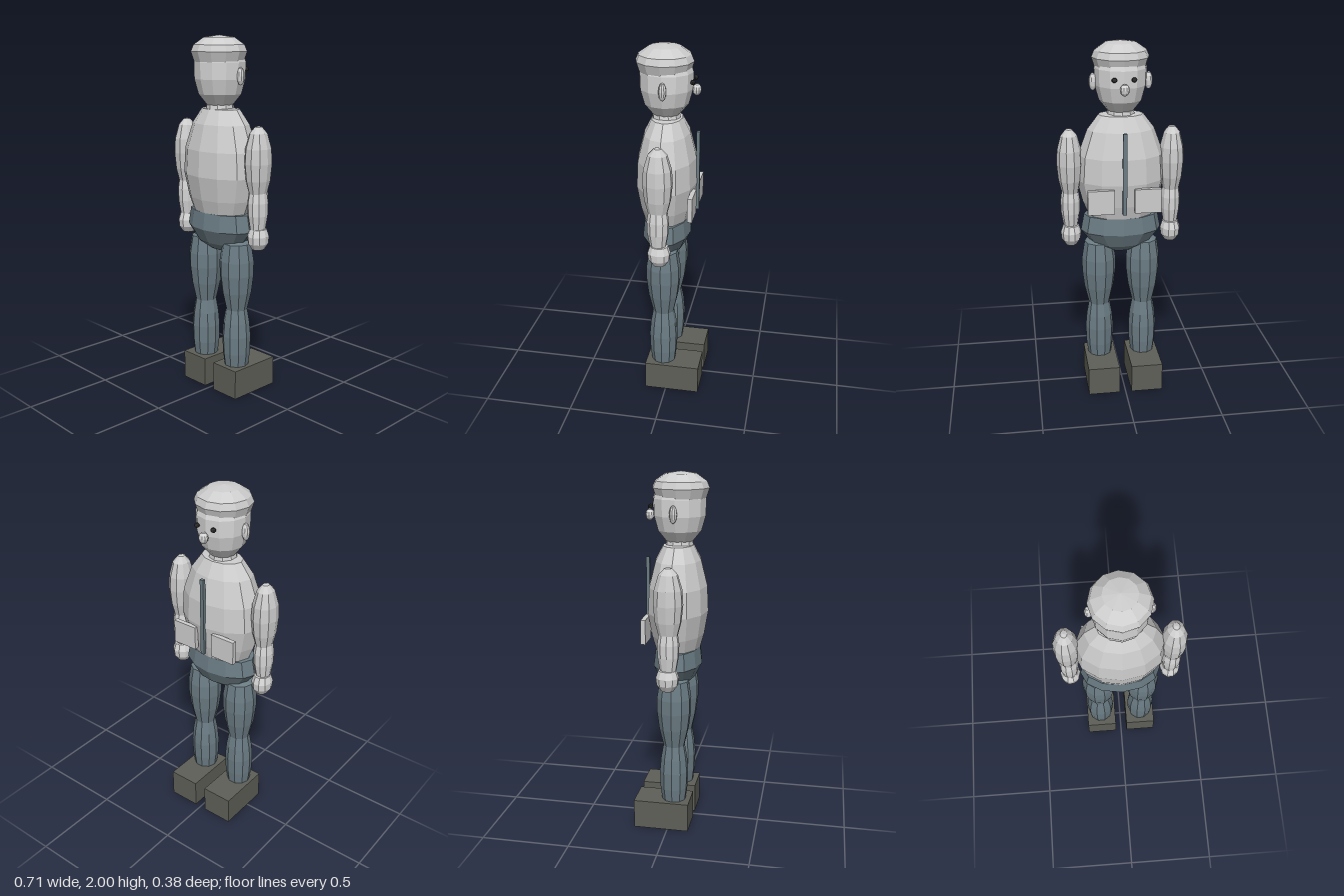
import * as THREE from 'three';

const flat = (name, color) => {
  const m = new THREE.MeshStandardMaterial({ color, flatShading: true });
  m.name = name;
  return m;
};

export function createModel() {
  const skin = flat('skin', 0xd6d6d6);
  const shirt = flat('shirt', 0xcdcdcd);
  const trousers = flat('trousers', 0x6b7c84);
  const shoes = flat('shoes', 0x5f5f58);
  const black = flat('black', 0x2c2c2c);

  const model = new THREE.Group();
  model.name = 'figure';

  const add = (name, geometry, material, x, y, z) => {
    const mesh = new THREE.Mesh(geometry, material);
    mesh.name = name;
    mesh.position.set(x, y, z);
    model.add(mesh);
    return mesh;
  };

  // Faceted body part: profile of [radius, y] from bottom to top, stretched in x and z
  const turned = (name, profile, sides, material, x, z, sx = 1, sz = 1, start = 0) => {
    const points = profile.map(([r, y]) => new THREE.Vector2(r, y));
    const geometry = new THREE.LatheGeometry(points, sides, start);
    geometry.scale(sx, 1, sz);
    return add(name, geometry, material, x, 0, z);
  };
  const box = (name, w, h, d, material, x, y, z) =>
    add(name, new THREE.BoxGeometry(w, h, d), material, x, y, z);
  const ball = (name, rx, ry, rz, material, x, y, z) => {
    const geometry = new THREE.SphereGeometry(1, 10, 6);
    geometry.scale(rx, ry, rz);
    return add(name, geometry, material, x, y, z);
  };

  // Torso and hips
  turned('torso', [[0, 1.03], [0.72, 1.03], [0.87, 1.12], [1, 1.25], [0.96, 1.39],
    [0.75, 1.53], [0.5, 1.61], [0, 1.62]], 12, shirt, 0, 0.025, 0.245, 0.167);
  turned('hips', [[0, 0.81], [0.3, 0.825], [0.72, 0.87], [1, 0.95], [0.92, 1.045],
    [0, 1.05]], 12, trousers, 0, 0.025, 0.226, 0.135);

  // Neck, head and cap
  turned('neck', [[0.08, 1.58], [0.068, 1.68]], 10, skin, 0, 0.03);
  turned('head', [[0, 1.61], [0.062, 1.62], [0.118, 1.69], [0.14, 1.77], [0.142, 1.86],
    [0.12, 1.93], [0, 1.95]], 12, skin, 0, 0.03, 1, 1.02);
  turned('cap', [[0, 1.86], [0.137, 1.86], [0.155, 1.915], [0.14, 1.95], [0.085, 1.988],
    [0, 2]], 12, shirt, 0, 0.037);
  ball('nose', 0.026, 0.032, 0.024, skin, 0, 1.768, -0.132);

  // Front fastening strip
  box('zip', 0.022, 0.45, 0.018, trousers, 0, 1.315, -0.144);

  for (const s of [-1, 1]) {
    const side = s > 0 ? 'left' : 'right';

    // Face details
    ball(side + 'Ear', 0.022, 0.048, 0.021, skin, s * 0.15, 1.788, 0.023);
    ball(side + 'Eye', 0.015, 0.013, 0.013, black, s * 0.052, 1.818, -0.118);

    // Chest pocket
    box(side + 'Pocket', 0.145, 0.135, 0.026, shirt, s * 0.128, 1.162, -0.132);

    // Arm
    const armX = s * 0.283;
    turned(side + 'UpperArm', [[0, 1.17], [0.046, 1.18], [0.062, 1.25], [0.07, 1.34],
      [0.066, 1.42], [0.045, 1.5], [0.018, 1.533], [0, 1.538]], 10, shirt,
      armX, 0.023, 1, 1.14, Math.PI / 2);
    turned(side + 'Forearm', [[0, 0.98], [0.04, 0.985], [0.052, 1.06], [0.054, 1.13],
      [0.043, 1.21], [0, 1.22]], 10, skin, armX, 0.023, 1, 1.1, Math.PI / 2);
    turned(side + 'Hand', [[0, 0.868], [0.032, 0.872], [0.053, 0.905], [0.057, 0.945],
      [0.045, 0.985], [0, 1]], 10, skin, armX, 0.018, 1, 1.1, Math.PI / 2);

    // Leg
    const legX = s * 0.127;
    turned(side + 'Thigh', [[0.06, 0.495], [0.084, 0.6], [0.096, 0.7], [0.096, 0.78],
      [0.08, 0.88], [0, 0.91]], 10, trousers, legX, 0.025, 1, 1, Math.PI / 2);
    turned(side + 'Shin', [[0.068, 0.16], [0.078, 0.24], [0.081, 0.34], [0.074, 0.42],
      [0.06, 0.5]], 10, trousers, legX, 0.025, 1, 1, Math.PI / 2);
    box(side + 'Shoe', 0.18, 0.165, 0.312, shoes, s * 0.125, 0.0825, -0.036);
  }

  return model;
}
